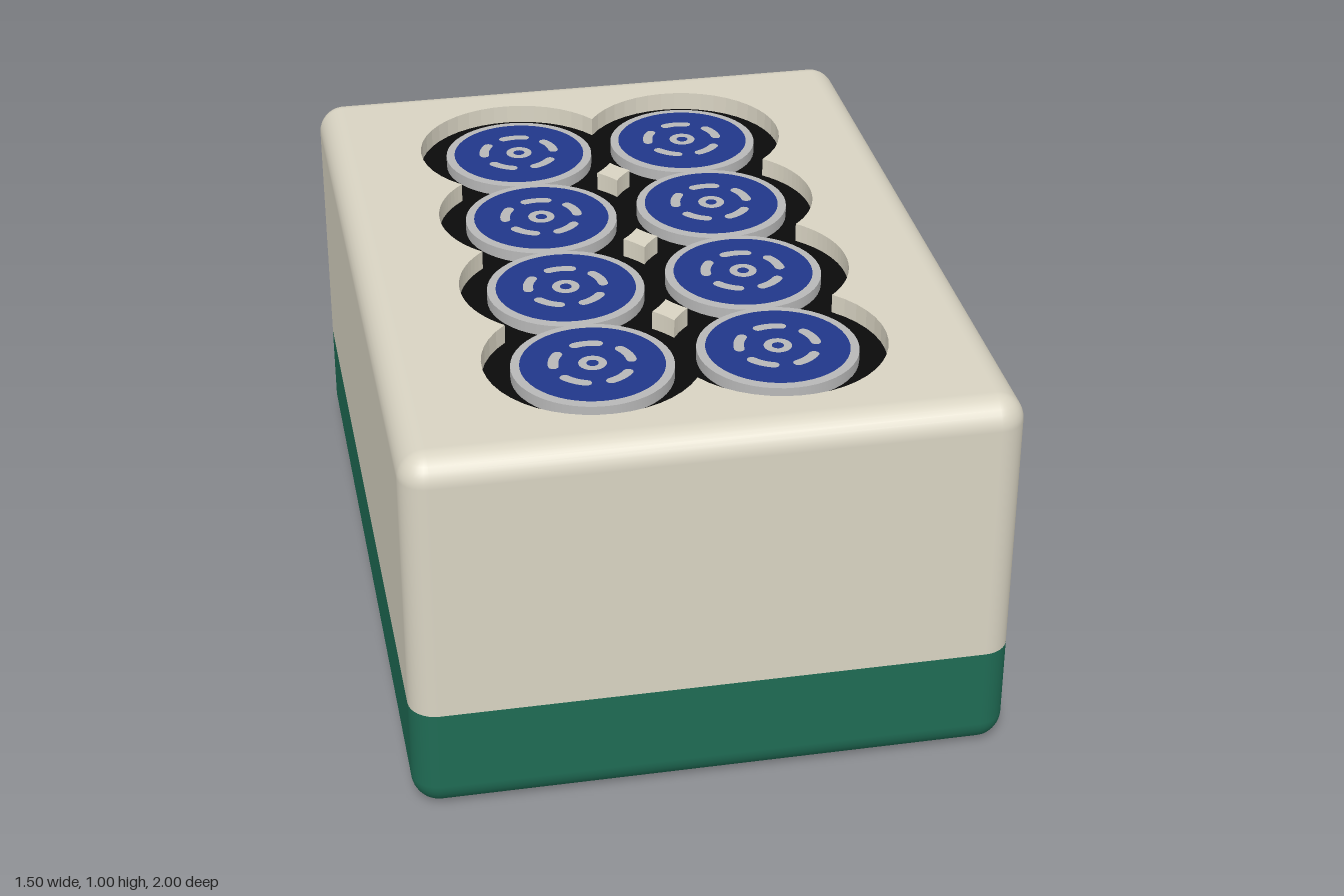
import * as THREE from 'three';

const W = 0.75, H = 1, D = 1, R = 0.07, SEAM = 0.285; // half width, height, half depth, edge radius
const CX = 0.23, STEP = 0.393, HOLE = 0.27, DEPTH = 0.05; // recess layout
const ROWS = [-1.5, -0.5, 0.5, 1.5].map(i => i * STEP);
const A = Math.acos(STEP / 2 / HOLE), B = Math.acos(CX / HOLE); // overlap half-angles
const PI = Math.PI;

const paint = color => new THREE.MeshStandardMaterial({ color });
const ivory = paint(0xd9d4c3), green = paint(0x1f6b54), black = paint(0x0a0a0a);
const grey = paint(0xb8b8b8), blue = paint(0x21378a);

function part(name, geometry, material, y = 0) {
  const mesh = new THREE.Mesh(geometry, material);
  mesh.name = name;
  mesh.position.y = y;
  return mesh;
}

// Shell through rounded-rectangle rings, each given as [height of arc centre, tilt of normal]
function shell(rings) {
  const n = 8, pos = [], nor = [], idx = [], count = 4 * (n + 1);
  for (const [y, tilt] of rings) {
    for (let k = 0; k < 4; k++) {
      const sx = k === 0 || k === 3 ? 1 : -1, sz = k < 2 ? 1 : -1;
      for (let j = 0; j <= n; j++) {
        const t = (k + j / n) * PI / 2;
        const v = [Math.cos(tilt) * Math.cos(t), Math.sin(tilt), Math.cos(tilt) * Math.sin(t)];
        pos.push(sx * (W - R) + R * v[0], y + R * v[1], sz * (D - R) + R * v[2]);
        nor.push(...v);
      }
    }
  }
  for (let r = 0; r < rings.length - 1; r++) {
    for (let i = 0; i < count; i++) {
      const a = r * count + i, b = r * count + (i + 1) % count;
      idx.push(a, a + count, b, b, a + count, b + count);
    }
  }
  const g = new THREE.BufferGeometry();
  g.setAttribute('position', new THREE.Float32BufferAttribute(pos, 3));
  g.setAttribute('normal', new THREE.Float32BufferAttribute(nor, 3));
  g.setIndex(idx);
  return g;
}

function arcPoints(cx, cy, r, from, to, n) {
  return Array.from({ length: n + 1 }, (_, i) => {
    const t = from + (to - from) * i / n;
    return new THREE.Vector2(cx + r * Math.cos(t), cy + r * Math.sin(t));
  });
}

// Outer outline of the eight overlapping recesses
function recessOutline() {
  const half = ROWS.flatMap((y, i) => arcPoints(CX, y, HOLE,
    i === 0 ? B - PI : A - PI / 2, i === 3 ? PI - B : PI / 2 - A, 24).slice(0, -1));
  return [...half, ...half.map(p => p.clone().negate())];
}

// Four-sided island left between four neighbouring recesses
function islandShape(y) {
  const s = STEP / 2, arc = (sx, sy) => {
    const pts = arcPoints(0, 0, HOLE, B, PI / 2 - A, 6);
    return pts.map(p => new THREE.Vector2(sx * (CX - p.x), y + sy * (s - p.y)));
  };
  return new THREE.Shape([
    ...arc(1, 1), ...arc(1, -1).reverse(), ...arc(-1, -1), ...arc(-1, 1).reverse()]);
}

// Shapes lie in the xz plane, facing up
const flat = g => g.rotateX(-PI / 2);
const slab = shape => flat(new THREE.ExtrudeGeometry(shape, { depth: DEPTH, bevelEnabled: false }));

// Curved dash with round ends
function dashShape(mid) {
  const r = 0.096, w = 0.013, span = 0.31;
  const end = t => [r * Math.cos(t), r * Math.sin(t), w];
  const a = mid - span, b = mid + span;
  return new THREE.Shape([
    ...arcPoints(0, 0, r + w, a, b, 8),
    ...arcPoints(...end(b), b, b + PI, 6),
    ...arcPoints(0, 0, r - w, b, a, 8),
    ...arcPoints(...end(a), a + PI, a + 2 * PI, 6)]);
}

function createMedallion() {
  const g = new THREE.Group();
  g.name = 'medallion';
  g.add(part('medallionRim', new THREE.CylinderGeometry(0.2, 0.2, 0.03, 48), grey, 0.015));
  g.add(part('medallionFace', flat(new THREE.CircleGeometry(0.178, 48)), blue, 0.032));
  g.add(part('centreRing', flat(new THREE.RingGeometry(0.015, 0.035, 24)), grey, 0.034));
  const dashes = Array.from({ length: 5 }, (_, i) => dashShape(PI / 2 + i * PI * 0.4));
  g.add(part('dashes', flat(new THREE.ShapeGeometry(dashes)), grey, 0.034));
  return g;
}

export function createModel() {
  const model = new THREE.Group();
  model.name = 'tile';

  // Two-tone rounded block
  const bend = Array.from({ length: 9 }, (_, i) => i / 8 * PI / 2);
  model.add(part('base', shell([...bend.map(t => [R, t - PI / 2]), [SEAM, 0]]), green));
  model.add(part('body', shell([[SEAM, 0], ...bend.map(t => [H - R, t])]), ivory));
  const bottom = new THREE.PlaneGeometry(2 * (W - R), 2 * (D - R)).rotateX(PI / 2);
  model.add(part('bottom', bottom, green));

  // Top plate pierced by the recesses
  const w = W - R, d = D - R, outline = recessOutline();
  const plate = new THREE.Shape([[-w, -d], [w, -d], [w, d], [-w, d]].map(p => new THREE.Vector2(...p)));
  plate.holes.push(new THREE.Path(outline));
  model.add(part('topPlate', slab(plate), ivory, H - DEPTH));
  model.add(part('recessFloor', flat(new THREE.ShapeGeometry(new THREE.Shape(outline))), black, H - DEPTH));
  for (const y of [-STEP, 0, STEP]) model.add(part('island', slab(islandShape(y)), ivory, H - DEPTH));

  // Eight round medallions in two columns
  for (const x of [-CX, CX]) {
    for (const z of ROWS) {
      const m = createMedallion();
      m.position.set(x, H - DEPTH, z);
      model.add(m);
    }
  }
  return model;
}
